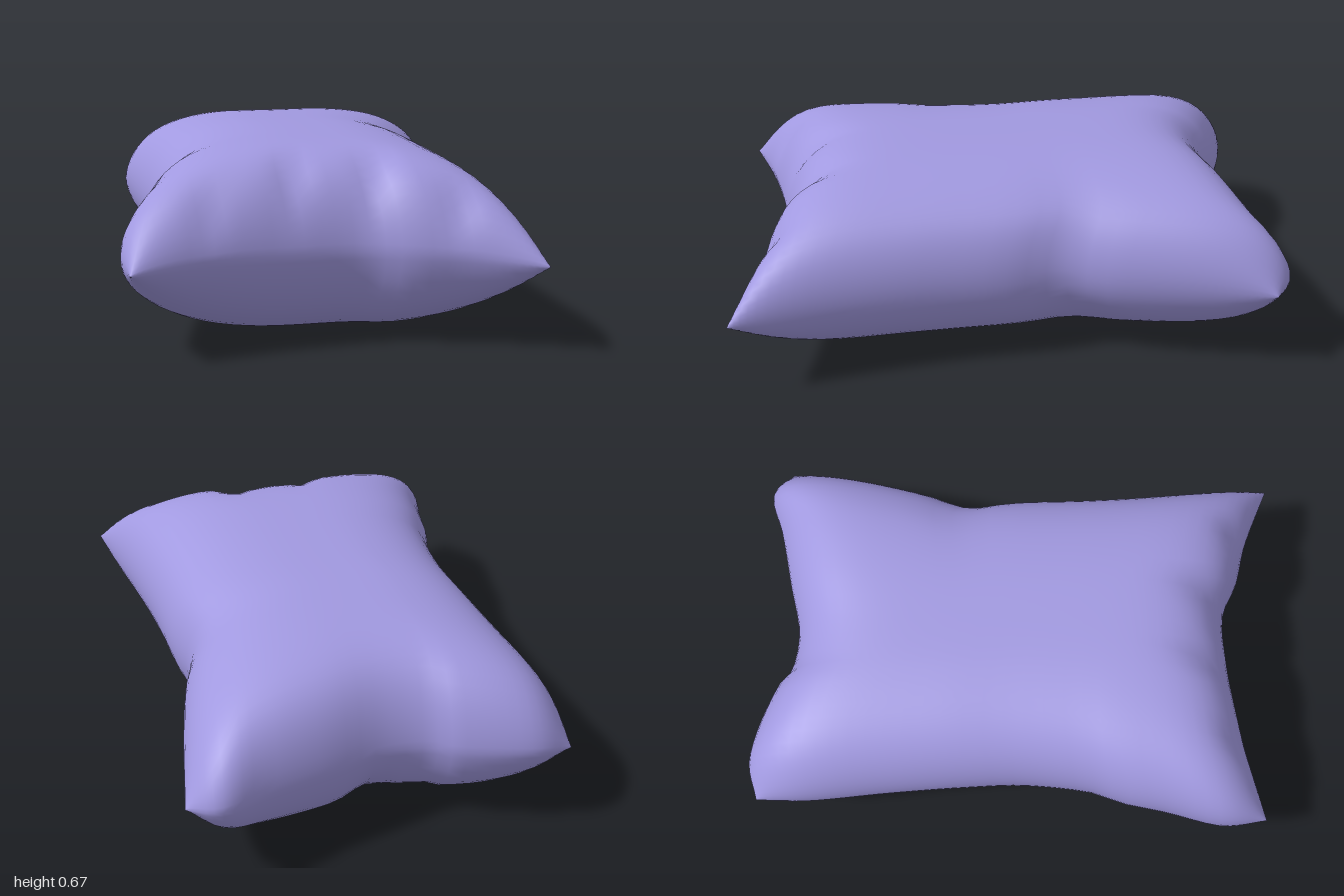
import * as THREE from 'three';
import { mergeVertices } from 'three/addons/utils/BufferGeometryUtils.js';

const HALF = 0.333;  // half the thickness of the filling
const MID = 0.338;   // height of the middle of the filling
const N = 40;        // grid cells across each face

// A seam edge as a smooth curve through [x, y, z] points
const seam = (points) =>
  new THREE.CatmullRomCurve3(points.map((p) => new THREE.Vector3(...p)), false, 'centripetal');

// Four seam edges, sharing their corners
const frontEdge = seam([[-0.67, 0.31, 0.97], [-0.55, 0.325, 0.93], [-0.4, 0.335, 0.885], [-0.1, 0.335, 0.825],
  [0.13, 0.335, 0.81], [0.27, 0.335, 0.865], [0.43, 0.33, 0.9], [0.695, 0.305, 0.995]]);
const backEdge = seam([[-0.665, 0.31, -0.95], [-0.52, 0.34, -0.985], [-0.22, 0.34, -0.89],
  [-0.2, 0.34, -0.865], [-0.03, 0.34, -0.84], [0.2, 0.34, -0.895], [0.42, 0.34, -0.95], [0.58, 0.34, -1],
  [0.69, 0.32, -0.93]]);
const rightEdge = seam([[-0.665, 0.31, -0.95], [-0.665, 0.34, -0.77], [-0.62, 0.34, -0.45],
  [-0.585, 0.34, -0.15], [-0.57, 0.34, 0.07], [-0.595, 0.34, 0.35], [-0.62, 0.34, 0.41], [-0.655, 0.34, 0.6],
  [-0.7, 0.34, 0.81], [-0.67, 0.31, 0.97]]);
const leftEdge = seam([[0.69, 0.32, -0.93], [0.63, 0.34, -0.6], [0.575, 0.34, -0.35],
  [0.525, 0.34, -0.18], [0.555, 0.34, 0], [0.58, 0.34, 0.3], [0.62, 0.33, 0.6], [0.695, 0.305, 0.995]]);

// Creases pulled in at the seam: centre x, z, reach in x, z, depth, side (1 top, -1 bottom)
const creases = [
  [-0.12, 0.76, 0.05, 0.13, 0.16, 1],
  [0.16, 0.76, 0.05, 0.13, 0.18, 1],
  [-0.4, 0.86, 0.06, 0.08, 0.2, 1],
  [0.42, 0.87, 0.06, 0.08, 0.22, 1],
  [0.0, -0.8, 0.08, 0.12, 0.2, -1],
  [0.52, -0.22, 0.07, 0.14, 0.12, -1],
];

// Filling thickness, 0 on the seam and 1 in the middle
function puff(u, v) {
  return Math.sqrt(1 - Math.abs(u) ** 3) * (1 - Math.abs(v) ** 7) ** 0.65;
}

// Point between the four seam edges; s and t run from 0 to 1
function patch(s, t) {
  const p = new THREE.Vector3();
  const add = (q, w) => p.addScaledVector(q, w);
  add(backEdge.getPointAt(s), 1 - t);
  add(frontEdge.getPointAt(s), t);
  add(rightEdge.getPointAt(t), 1 - s);
  add(leftEdge.getPointAt(t), s);
  add(backEdge.getPointAt(0), -(1 - s) * (1 - t));
  add(backEdge.getPointAt(1), -s * (1 - t));
  add(frontEdge.getPointAt(0), -(1 - s) * t);
  add(frontEdge.getPointAt(1), -s * t);
  return p;
}

function pillowGeometry() {
  const positions = [];
  const index = [];
  // Rows crowd towards the seam, where the cloth curves most
  const spread = (i) => (i === 0 ? -1 : i === N ? 1 : Math.sin((i / N - 0.5) * Math.PI));
  for (const side of [1, -1]) {
    const base = positions.length / 3;
    for (let j = 0; j <= N; j++) {
      for (let i = 0; i <= N; i++) {
        const u = spread(i);
        const v = spread(j);
        const p = patch((u + 1) / 2, (v + 1) / 2);
        const fill = puff(u, v);
        let h = fill;
        for (const [x, z, rx, rz, depth, only] of creases) {
          if (only === side) {
            h *= 1 - depth * Math.exp(-(((p.x - x) / rx) ** 2) - ((p.z - z) / rz) ** 2);
          }
        }
        positions.push(p.x, THREE.MathUtils.lerp(p.y, MID, fill) + side * HALF * h, p.z);
      }
    }
    for (let j = 0; j < N; j++) {
      for (let i = 0; i < N; i++) {
        const a = base + j * (N + 1) + i;
        const b = a + 1;
        const c = a + N + 1;
        const d = c + 1;
        if (side > 0) index.push(a, c, b, b, c, d);
        else index.push(a, b, c, b, d, c);
      }
    }
  }
  const geometry = new THREE.BufferGeometry();
  geometry.setAttribute('position', new THREE.Float32BufferAttribute(positions, 3));
  geometry.setIndex(index);
  // Join both faces along the seam so the shading runs round it
  const joined = mergeVertices(geometry, 1e-4);
  joined.computeVertexNormals();
  return joined;
}

export function createModel() {
  const group = new THREE.Group();
  group.name = 'pillow';
  const cloth = new THREE.MeshStandardMaterial({ color: 0xa199e0 });
  const cushion = new THREE.Mesh(pillowGeometry(), cloth);
  cushion.name = 'cushion';
  group.add(cushion);
  return group;
}
